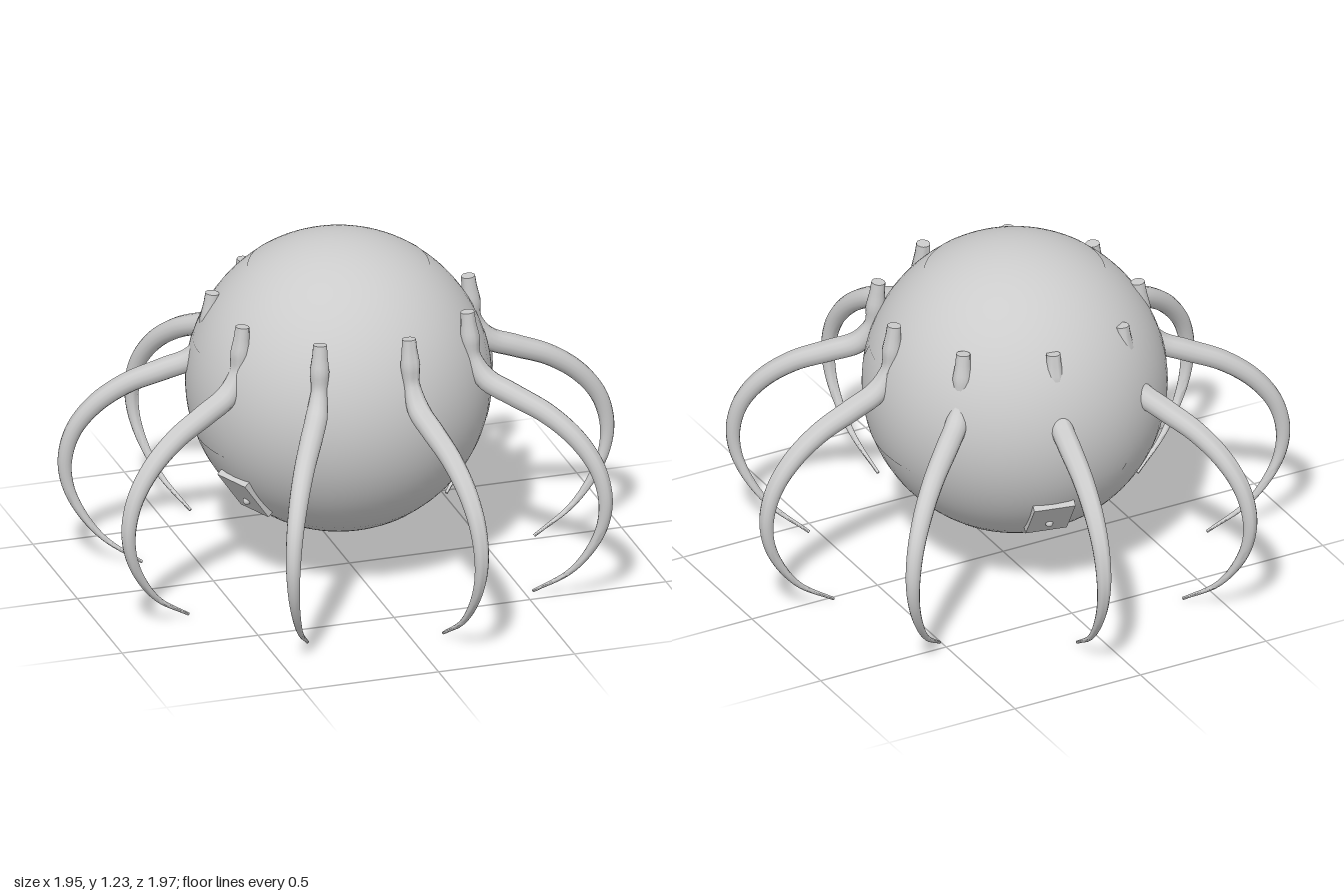
import * as THREE from 'three';
import { toCreasedNormals } from 'three/addons/utils/BufferGeometryUtils.js';
import { ParametricGeometry } from 'three/addons/geometries/ParametricGeometry.js';

const R = 0.535; // body radius
const grey = new THREE.MeshStandardMaterial({ color: 0xcccccc });
const white = new THREE.MeshStandardMaterial({ color: 0xffffff });

function add(parent, name, geometry, material = grey) {
  const mesh = new THREE.Mesh(geometry, material);
  mesh.name = name;
  parent.add(mesh);
  return mesh;
}

// Curved window lying on the sphere, facing +z, with notched sides
function windowGeometry(notch, tooth, corner) {
  const r = R + 0.0015;
  const halfWidth = (y) => {
    const a = Math.abs(y);
    return a < 0.09
      ? THREE.MathUtils.lerp(notch, tooth, a / 0.09)
      : THREE.MathUtils.lerp(tooth, corner, (a - 0.09) / 0.075);
  };
  return new ParametricGeometry((u, v, target) => {
    const y = (v - 0.5) * 0.33;
    const x = (u - 0.5) * 2 * halfWidth(y);
    target.set(x, y, Math.sqrt(r * r - x * x - y * y));
  }, 24, 22);
}

// Tapered tentacle: [distance from axis, height, radius]
const legProfile = [
  [0.46, 1.035, 0.022], [0.47, 0.94, 0.035], [0.48, 0.87, 0.028], [0.53, 0.79, 0.04],
  [0.63, 0.745, 0.04], [0.76, 0.69, 0.037], [0.87, 0.61, 0.034], [0.945, 0.51, 0.03],
  [0.975, 0.4, 0.026], [0.965, 0.3, 0.021], [0.92, 0.2, 0.016], [0.84, 0.1, 0.01],
  [0.705, 0.008, 0.005],
];

function legGeometry() {
  const curve = new THREE.CatmullRomCurve3(legProfile.map(([x, y]) => new THREE.Vector3(x, y, 0)));
  const rings = 72, sides = 14;
  const geometry = new THREE.TubeGeometry(curve, rings, 1, sides, false);
  const pos = geometry.attributes.position;
  const p = new THREE.Vector3();
  for (let i = 0; i <= rings; i++) {
    const end = i === 0 || i === rings;
    const u = i / rings;
    const centre = curve.getPointAt(u);
    const f = curve.getUtoTmapping(u) * (legProfile.length - 1);
    const k = Math.min(Math.floor(f), legProfile.length - 2);
    const radius = THREE.MathUtils.lerp(legProfile[k][2], legProfile[k + 1][2], f - k);
    // The ring next to each end moves onto the end, whose own ring closes to a point
    const near = i === 1 ? 0 : i === rings - 1 ? 1 : u;
    const target = curve.getPointAt(near);
    for (let j = 0; j <= sides; j++) {
      const n = i * (sides + 1) + j;
      p.fromBufferAttribute(pos, n).sub(centre).multiplyScalar(end ? 0 : radius).add(target);
      pos.setXYZ(n, p.x, p.y, p.z);
    }
  }
  return toCreasedNormals(geometry, 0.9);
}

export function createModel() {
  const model = new THREE.Group();

  // Round body with its pale top and bottom caps
  const body = new THREE.Group();
  body.name = 'body';
  body.position.set(-0.03, 0.7, -0.03);
  model.add(body);
  add(body, 'shell', new THREE.SphereGeometry(R, 64, 48));
  const cap = new THREE.SphereGeometry(R + 0.0015, 64, 14, 0, Math.PI * 2, 0, 0.635);
  add(body, 'topCap', cap, white);
  add(body, 'bottomCap', cap, white).rotation.x = Math.PI;

  // Four side windows, wider on the left and right
  const narrow = windowGeometry(0.17, 0.205, 0.17);
  const wide = windowGeometry(0.21, 0.25, 0.2);
  ['front', 'left', 'back', 'right'].forEach((side, i) => {
    add(body, side + 'Window', i % 2 ? wide : narrow, white).rotation.y = (i * Math.PI) / 2;
  });

  // Small raised hatches low on the shell
  [78, 202].forEach((degrees) => {
    const hatch = new THREE.Group();
    hatch.name = 'hatch';
    const a = THREE.MathUtils.degToRad(degrees);
    const down = -0.64;
    const dir = new THREE.Vector3(Math.cos(a) * Math.cos(down), Math.sin(down), -Math.sin(a) * Math.cos(down));
    hatch.position.copy(dir).multiplyScalar(R - 0.002);
    hatch.lookAt(dir.multiplyScalar(2));
    add(hatch, 'hatchPlate', new THREE.BoxGeometry(0.15, 0.18, 0.024));
    const knob = add(hatch, 'hatchKnob', new THREE.SphereGeometry(0.014, 16, 10));
    knob.position.set(0, -0.03, 0.012);
    body.add(hatch);
  });

  // Nine tentacles in a ring
  const legs = new THREE.Group();
  legs.name = 'legs';
  legs.position.x = -0.02;
  model.add(legs);
  const leg = legGeometry();
  for (let i = 0; i < 9; i++) {
    add(legs, 'leg', leg).rotation.y = THREE.MathUtils.degToRad(1.4 - 0 + i * 40);
  }
  return model;
}
